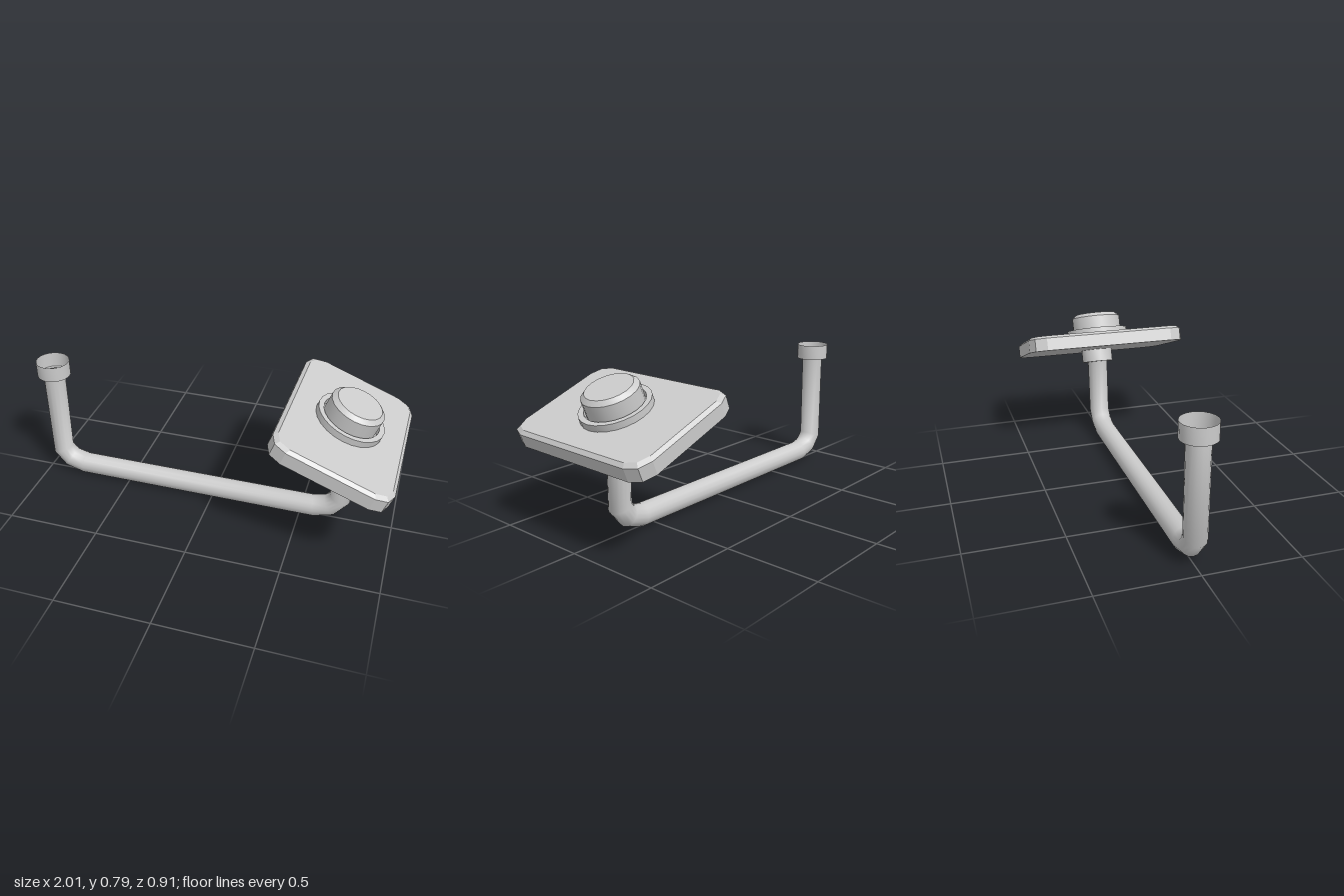
import * as THREE from 'three';
import { ConvexGeometry } from 'three/addons/geometries/ConvexGeometry.js';
import { toCreasedNormals } from 'three/addons/utils/BufferGeometryUtils.js';

const material = new THREE.MeshStandardMaterial({ color: 0xcccccc, side: THREE.DoubleSide });

function addMesh(parent, name, geometry) {
  const mesh = new THREE.Mesh(geometry, material);
  mesh.name = name;
  parent.add(mesh);
  return mesh;
}

function lathe(profile, segments) {
  const points = profile.map(([r, y]) => new THREE.Vector2(r, y));
  return toCreasedNormals(new THREE.LatheGeometry(points, segments), 0.55);
}

// Path that puts one tube ring on every given point, mitred at the bends
class BentPath extends THREE.Curve {
  constructor(points) {
    super();
    this.points = points;
  }
  index(u) {
    return Math.round(u * (this.points.length - 1));
  }
  getPointAt(u) {
    return this.points[this.index(u)].clone();
  }
  getTangentAt(u) {
    const p = this.points, i = this.index(u), tangent = new THREE.Vector3();
    if (i > 0) tangent.add(p[i].clone().sub(p[i - 1]).normalize());
    if (i < p.length - 1) tangent.add(p[i + 1].clone().sub(p[i]).normalize());
    return tangent.normalize();
  }
}

// Corner points of a rounded rectangle at one height
function roundedOutline(halfX, halfZ, radius, y) {
  const points = [];
  for (const sx of [-1, 1]) for (const sz of [-1, 1]) for (let i = 0; i <= 2; i++) {
    const a = i * Math.PI / 4;
    points.push(new THREE.Vector3(
      sx * (halfX - radius + radius * Math.cos(a)), y,
      sz * (halfZ - radius + radius * Math.sin(a))));
  }
  return points;
}

export function createModel() {
  const model = new THREE.Group();
  model.name = 'pedalArm';

  // Bent pipe: left and right uprights joined by a low bar
  const path = [
    [-0.911, 0.64, 0], [-0.911, 0.145, 0], [-0.862, 0.086, 0], [-0.775, 0.061, 0],
    [0.575, 0.061, 0], [0.662, 0.086, 0], [0.711, 0.145, 0], [0.711, 0.5, -0.007],
  ].map((p) => new THREE.Vector3(...p));
  addMesh(model, 'bentPipe', new THREE.TubeGeometry(new BentPath(path), path.length - 1, 0.059, 16, false));

  // Open cup on the free end
  const cup = addMesh(model, 'endCup', lathe([[0.058, 0.634], [0.09, 0.634], [0.09, 0.718]], 20));
  cup.position.x = -0.911;

  // Tilted head: everything stands on the underside of the plate
  const head = new THREE.Group();
  head.name = 'tiltedHead';
  head.position.set(0.679, 0.547, -0.005);
  head.rotation.set(0, -0.02, -0.364);
  model.add(head);

  // Plate with rounded corners and a chamfered upper edge
  addMesh(head, 'plate', new ConvexGeometry([
    ...roundedOutline(0.318, 0.453, 0.09, 0),
    ...roundedOutline(0.318, 0.453, 0.09, 0.07),
    ...roundedOutline(0.298, 0.433, 0.08, 0.085),
  ]));

  // Raised ring around the button
  addMesh(head, 'buttonRing', lathe([[0.15, 0.08], [0.18, 0.08], [0.18, 0.12], [0.152, 0.12], [0.152, 0.08]], 24));

  // Chamfered button
  addMesh(head, 'button', lathe([[0.143, 0.08], [0.143, 0.192], [0.12, 0.213], [0, 0.213]], 20));

  // Socket below the plate that receives the pipe
  const socket = addMesh(head, 'pipeSocket', lathe([[0.055, -0.073], [0.092, -0.073], [0.092, 0.005]], 20));
  socket.position.x = 0.065;

  return model;
}
